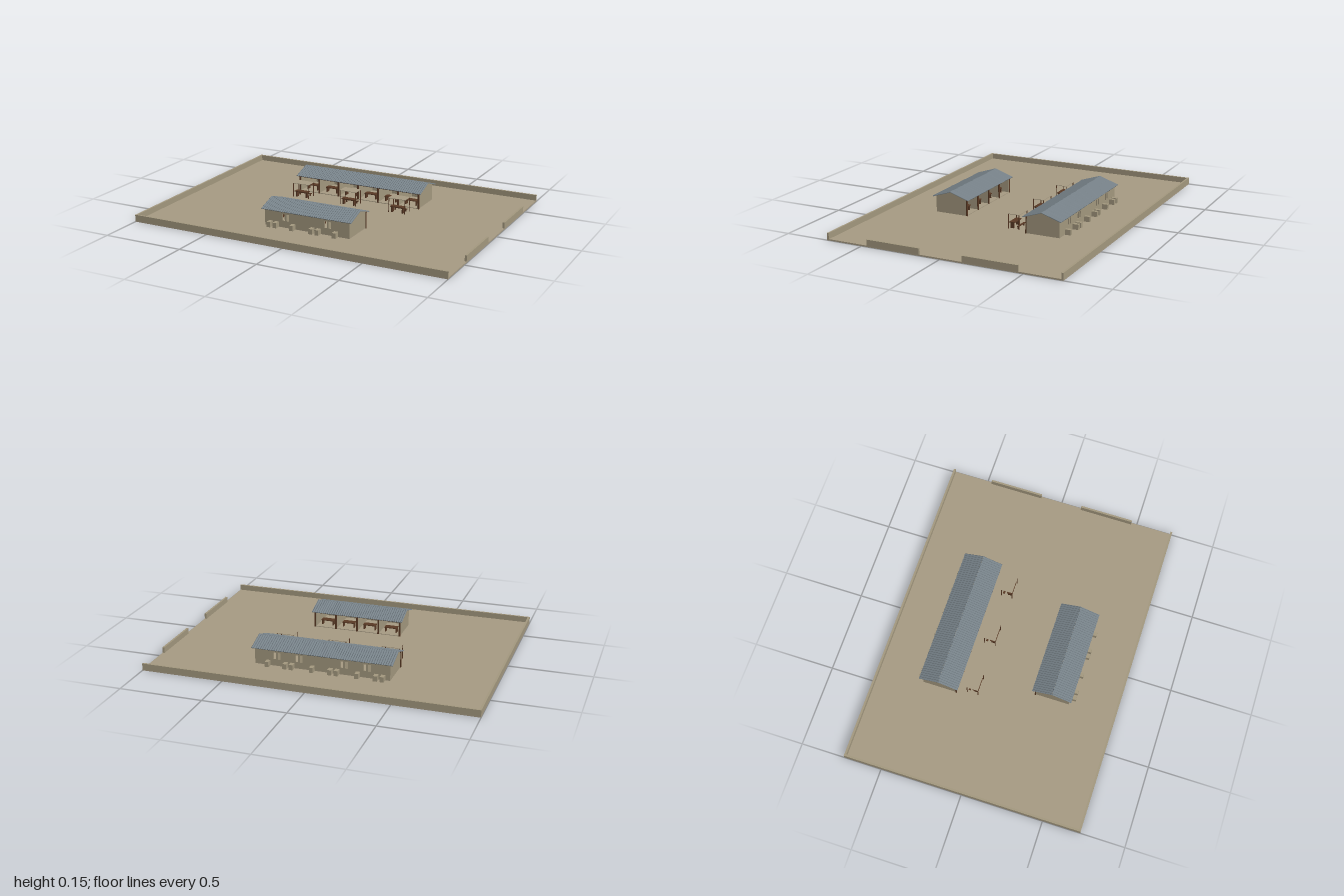
import * as THREE from 'three';

const mat = (name, color) => {
  const m = new THREE.MeshStandardMaterial({ color });
  m.name = name;
  return m;
};

export function createModel() {
  const sand = mat('sand', 0xa89c84);
  const plaster = mat('plaster', 0xa59a80);
  const steel = mat('roofSteel', 0x78838a);
  const wood = mat('darkWood', 0x5a3a25);
  const root = new THREE.Group();
  root.name = 'walledCompound';

  // Box given by its limits on each axis
  const box = (parent, name, m, x0, x1, y0, y1, z0, z1) => {
    const mesh = new THREE.Mesh(new THREE.BoxGeometry(x1 - x0, y1 - y0, z1 - z0), m);
    mesh.position.set((x0 + x1) / 2, (y0 + y1) / 2, (z0 + z1) / 2);
    mesh.name = name;
    parent.add(mesh);
    return mesh;
  };

  // Ground and boundary walls; the +x side has two separate lengths
  const G = 0.008, H = 0.043, T = 0.012, D = 0.73;
  box(root, 'ground', sand, -1, 1, 0, G, -D, D);
  box(root, 'backWall', plaster, -1, 1, G, H, -D, -D + T);
  box(root, 'frontWall', plaster, -1, 1, G, H, D - T, D);
  box(root, 'rightWall', plaster, -1, -1 + T, G, H, -D + T, D - T);
  box(root, 'leftWallFront', plaster, 1 - T, 1, G, H, 0.13, 0.465);
  box(root, 'leftWallBack', plaster, 1 - T, 1, G, H, -0.47, -0.135);

  // Gable-shaped wall standing across the building
  const gable = (parent, name, x, t) => {
    const s = new THREE.Shape();
    s.moveTo(-0.105, G);
    s.lineTo(0.105, G);
    s.lineTo(0.105, 0.11);
    s.lineTo(0, 0.144);
    s.lineTo(-0.105, 0.11);
    const geo = new THREE.ExtrudeGeometry(s, { depth: t, bevelEnabled: false });
    geo.translate(0, 0, -t / 2).rotateY(-Math.PI / 2);
    const mesh = new THREE.Mesh(geo, plaster);
    mesh.position.x = x;
    mesh.name = name;
    parent.add(mesh);
  };

  // One ribbed roof slope
  const slope = (parent, name, length, side) => {
    const run = 0.121, drop = 0.04, ribs = Math.round(length / 0.014);
    let geo = new THREE.BoxGeometry(length, 0.003, Math.hypot(run, drop), ribs * 4, 1, 1);
    const p = geo.attributes.position;
    for (let i = 0; i < p.count; i++) {
      const k = Math.round((p.getX(i) / length + 0.5) * ribs * 4) % 4;
      if (k === 1 || k === 2) p.setY(i, p.getY(i) + 0.003);
    }
    geo = geo.toNonIndexed();
    geo.computeVertexNormals();
    const mesh = new THREE.Mesh(geo, steel);
    mesh.rotation.x = side * Math.atan2(drop, run);
    mesh.position.set(0, 0.127, side * run / 2);
    mesh.name = name;
    parent.add(mesh);
  };

  // Room block: closed outer wall on local +z, open bays on local -z
  const building = (name, bays, width, z, turn) => {
    const b = new THREE.Group();
    b.name = name;
    b.position.set(0, 0, z);
    b.rotation.y = turn;
    root.add(b);
    const bay = width / bays, half = width / 2;
    box(b, 'floor', sand, -half, half, G, G + 0.004, -0.105, 0.105);
    slope(b, 'outerRoof', width + 0.035, 1);
    slope(b, 'innerRoof', width + 0.035, -1);
    for (let i = 0; i <= bays; i++) {
      const x = -half + i * bay;
      gable(b, i % bays ? 'partition' : 'gableWall', i === 0 ? x + 0.004 : i === bays ? x - 0.004 : x, 0.008);
      box(b, 'bayPost', wood, x - 0.005, x + 0.005, G, 0.108, -0.108, -0.101);
    }
    box(b, 'bayBeam', wood, -half, half, 0.1, 0.109, -0.105, -0.098);

    // Outer wall with a narrow window beside each partition
    const wall = new THREE.Shape();
    wall.moveTo(-half, G);
    wall.lineTo(half, G);
    wall.lineTo(half, 0.11);
    wall.lineTo(-half, 0.11);
    for (let i = 1; i < bays; i++) {
      const x = -half + i * bay;
      if (Math.abs(x) < 0.01) continue;
      for (const s of [-1, 1]) {
        const c = x + s * 0.014, w = 0.008;
        const hole = new THREE.Path();
        hole.moveTo(c - w, 0.05);
        hole.lineTo(c - w, 0.09);
        hole.lineTo(c + w, 0.09);
        hole.lineTo(c + w, 0.05);
        hole.closePath();
        wall.holes.push(hole);
      }
    }
    const outer = new THREE.Mesh(new THREE.ExtrudeGeometry(wall, { depth: 0.008, bevelEnabled: false }), plaster);
    outer.position.z = 0.097;
    outer.name = 'outerWall';
    b.add(outer);

    // Desks and outside boxes, alternating two and one per bay
    for (let i = 0; i < bays; i++) {
      const c = -half + (i + 0.5) * bay;
      box(b, 'deskTop', wood, c - 0.04, c + 0.04, 0.04, 0.045, -0.07, -0.03);
      for (const s of [-1, 1]) box(b, 'deskLeg', wood, c + s * 0.035 - 0.003, c + s * 0.035 + 0.003, G, 0.04, -0.065, -0.035);
      const k = turn ? bays - 1 - i : i;
      for (const dx of k % 2 ? [-0.015] : [-0.028, 0.012]) {
        const x = c + (turn ? -dx : dx);
        box(b, 'outsideBox', plaster, x - 0.012, x + 0.012, G, 0.04, 0.105, 0.14);
      }
    }
  };
  building('frontBuilding', 4, 0.555, 0.333, 0);
  building('backBuilding', 6, 0.825, -0.335, Math.PI);

  // Courtyard shelters with a table and bench beneath
  for (const x of [-0.336, -0.005, 0.326]) {
    const g = new THREE.Group();
    g.name = 'shelter';
    g.position.set(x, 0, -0.134);
    root.add(g);
    box(g, 'canopy', sand, -0.056, 0.056, 0.096, 0.099, -0.036, 0.036);
    for (const sx of [-1, 1]) {
      for (const sz of [-1, 1]) {
        const px = sx * 0.053, pz = sz * 0.034;
        box(g, 'shelterPost', wood, px - 0.002, px + 0.002, G, 0.096, pz - 0.002, pz + 0.002);
      }
      box(g, 'tableLeg', wood, sx * 0.035 - 0.004, sx * 0.035 + 0.004, G, 0.042, 0.005, 0.028);
    }
    box(g, 'tableTop', wood, -0.045, 0.045, 0.042, 0.047, -0.002, 0.033);
    box(g, 'bench', wood, -0.045, 0.045, 0.022, 0.026, -0.028, -0.016);
    for (const s of [-1, 1]) box(g, 'benchLeg', wood, s * 0.035 - 0.003, s * 0.035 + 0.003, G, 0.022, -0.026, -0.018);
  }
  return root;
}
